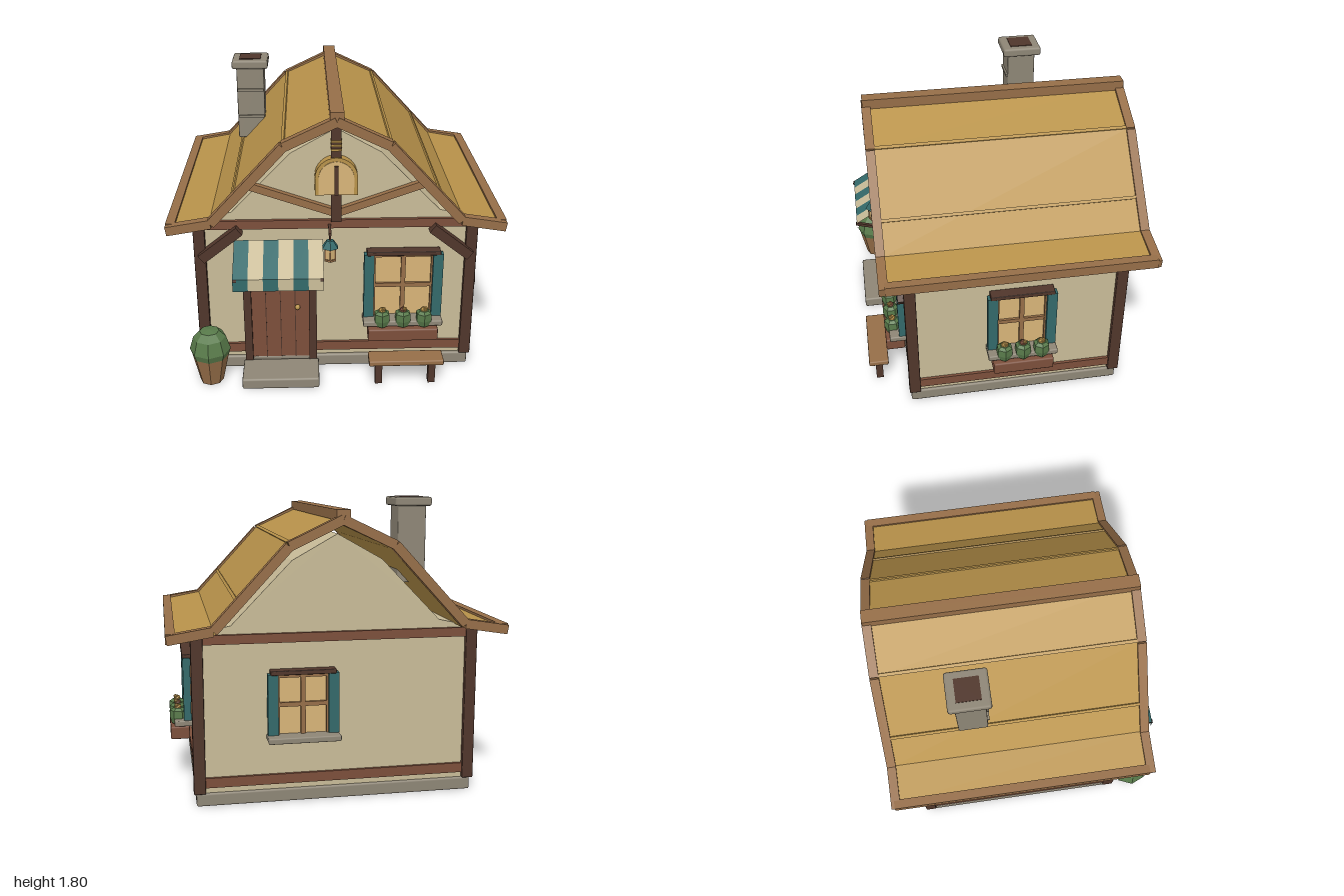
import * as THREE from 'three';
import { RoundedBoxGeometry } from 'three/addons/geometries/RoundedBoxGeometry.js';

const mat = (name, color) => Object.assign(new THREE.MeshStandardMaterial({ color }), { name });

export function createModel() {
  const plaster = mat('plaster', 0xc9bc98), stone = mat('stone', 0x8e8676), dark = mat('dark timber', 0x50362b);
  const red = mat('red timber', 0x7c4f3b), trim = mat('light timber', 0x966e48), thatch = mat('golden thatch', 0xb8924a);
  const teal = mat('teal paint', 0x33696a), glass = mat('lit glass', 0xd8b478), green = mat('foliage', 0x587a4a);
  teal.side = plaster.side = THREE.DoubleSide;

  const model = new THREE.Group();
  model.name = 'cottage';
  let parent = model;

  const add = (name, geo, m, x = 0, y = 0, z = 0) => {
    const mesh = new THREE.Mesh(geo, m);
    mesh.name = name;
    mesh.position.set(x, y, z);
    parent.add(mesh);
    return mesh;
  };
  // boxes given by their extents on each axis; bevel rounds the edges
  const box = (name, m, [x0, x1], [y0, y1], [z0, z1], bevel = 0) => {
    const s = [x1 - x0, y1 - y0, z1 - z0];
    const geo = bevel ? new RoundedBoxGeometry(...s, 1, bevel) : new THREE.BoxGeometry(...s);
    return add(name, geo, m, (x0 + x1) / 2, (y0 + y1) / 2, (z0 + z1) / 2);
  };
  // straight timber between two points in the xy plane
  const beam = (name, m, [ax, ay], [bx, by], thick, [z0, z1]) => {
    const len = Math.hypot(bx - ax, by - ay);
    const mesh = box(name, m, [-len / 2, len / 2], [-thick / 2, thick / 2], [z0, z1]);
    mesh.position.set((ax + bx) / 2, (ay + by) / 2, (z0 + z1) / 2);
    mesh.rotation.z = Math.atan2(by - ay, bx - ax);
    return mesh;
  };
  const flat = (geo) => {
    const g = geo.index ? geo.toNonIndexed() : geo;
    g.computeVertexNormals();
    return g;
  };
  const lathe = (pts, sides) => flat(new THREE.LatheGeometry(pts.map((p) => new THREE.Vector2(...p)), sides));
  const prism = (pts, depth) => new THREE.ExtrudeGeometry(
    new THREE.Shape(pts.map((p) => new THREE.Vector2(...p))), { depth, bevelEnabled: false });
  const flipX = (pts) => pts.map(([x, y]) => [-x, y]).reverse();

  // stone base and doorstep
  box('stoneBase', stone, [-0.845, 0.845], [0, 0.08], [-0.715, 0.62], 0.012);
  box('doorstep', stone, [-0.585, -0.11], [0, 0.07], [0.635, 0.867], 0.012);

  // walls and both gables as one solid
  const half = [[0.83, 0.07], [0.83, 1.035], [0.625, 1.08], [0.267, 1.45]];
  add('walls', prism([...half, [0, 1.6], ...flipX(half)], 1.3), plaster, 0, 0, -0.7);

  // timber frame
  for (const x of [-0.825, 0.825]) {
    for (const z of [0.595, -0.695]) {
      box('cornerPost', dark, [x - 0.035, x + 0.035], [0.08, 1.035], [z - 0.035, z + 0.035], 0.006);
    }
    for (const [y0, y1] of [[0.115, 0.175], [0.97, 1.03]]) {
      const o = Math.sign(x) * 0.83;
      box('sideRail', red, [o - 0.018, o + 0.018], [y0, y1], [-0.68, 0.58]);
    }
  }
  for (const z of [0.6, -0.7]) {
    box('lowerRail', red, [-0.8, 0.8], [0.115, 0.175], [z - 0.018, z + 0.018]);
    box('upperRail', red, [-0.8, 0.8], [0.975, 1.03], [z - 0.022, z + 0.022]);
  }
  for (const s of [-1, 1]) beam('cornerBrace', dark, [s * 0.815, 0.795], [s * 0.58, 0.98], 0.06, [0.605, 0.665]);

  // roof shell
  const outer = [[0.96, 1.053], [0.74, 1.093], [0.31, 1.56]];
  const inner = [[0.29, 1.52], [0.725, 1.05], [0.96, 1.012]];
  add('roofShell', prism([...outer, [0, 1.7], ...flipX(outer), ...flipX(inner), [0, 1.655], ...inner], 1.55), thatch, 0, 0, -0.825);
  box('ridgeBeam', trim, [-0.04, 0.04], [1.685, 1.745], [-0.865, 0.765]);

  // roof edging, seams and rafter tails on both slopes
  const line = [[0, 1.688], [0.305, 1.543], [0.735, 1.077], [0.995, 1.035]];
  for (const s of [-1, 1]) {
    for (const z of [[0.715, 0.77], [-0.87, -0.815]]) {
      for (let i = 0; i < 3; i++) {
        beam('bargeboard', trim, [s * line[i][0], line[i][1]], [s * line[i + 1][0], line[i + 1][1]], 0.055, z);
      }
    }
    box('eaveBoard', trim, s > 0 ? [0.945, 1] : [-1, -0.945], [1.012, 1.07], [-0.85, 0.735]);
    beam('roofSeam', thatch, [s * 0.295, 1.568], [s * 0.312, 1.557], 0.016, [-0.815, 0.715]);
    beam('roofSeam', thatch, [s * 0.595, 1.253], [s * 0.608, 1.239], 0.016, [-0.815, 0.715]);
    for (const z of [0.44, 0.115, -0.21, -0.535]) {
      beam('rafterTail', dark, [s * 0.8, 1.03], [s * 0.935, 1.008], 0.035, [z - 0.022, z + 0.022]);
    }
  }

  // chimney with raised courses on its front
  box('chimneyShaft', stone, [-0.625, -0.445], [1.27, 1.76], [-0.4, -0.22], 0.008);
  box('chimneyCap', stone, [-0.652, -0.418], [1.745, 1.8], [-0.437, -0.188], 0.014);
  box('chimneyFlue', dark, [-0.605, -0.465], [1.79, 1.804], [-0.385, -0.24]);
  for (const y of [1.42, 1.6]) box('chimneyCourse', stone, [-0.62, -0.45], [y - 0.008, y + 0.008], [-0.225, -0.208]);

  // front gable timbers
  box('kingPost', dark, [-0.03, 0.03], [1.03, 1.63], [0.6, 0.65]);
  for (const s of [-1, 1]) beam('gableBrace', trim, [s * 0.02, 1.085], [s * 0.525, 1.262], 0.045, [0.6, 0.64]);
  for (const y of [1.485, 1.51, 1.535]) box('gableBand', thatch, [-0.032, 0.032], [y - 0.006, y + 0.006], [0.61, 0.658]);

  // arched gable window
  const arch = (r, y0, depth) => {
    const sh = new THREE.Shape();
    sh.moveTo(-r, y0);
    sh.lineTo(r, y0);
    sh.absarc(0, 1.312, r, 0, Math.PI);
    return new THREE.ExtrudeGeometry(sh, { depth, bevelEnabled: false, curveSegments: 8 });
  };
  add('archFrame', arch(0.126, 1.207, 0.06), thatch, 0, 0, 0.6);
  add('archGlass', arch(0.104, 1.212, 0.006), glass, 0, 0, 0.659);
  box('archMullion', dark, [-0.012, 0.012], [1.21, 1.39], [0.66, 0.675]);

  // door
  box('doorLeaf', red, [-0.53, -0.16], [0.08, 0.74], [0.59, 0.625]);
  for (let i = 1; i < 4; i++) box('plankGroove', dark, [-0.532 + i * 0.0915, -0.527 + i * 0.0915], [0.08, 0.74], [0.62, 0.628]);
  for (const x of [-0.55, -0.145]) box('doorJamb', dark, [x - 0.024, x + 0.024], [0.07, 0.76], [0.59, 0.65]);
  box('doorLintel', dark, [-0.575, -0.12], [0.74, 0.79], [0.59, 0.65]);
  add('doorKnob', new THREE.SphereGeometry(0.017, 10, 8), thatch, -0.24, 0.445, 0.64);

  // striped awning: sloping cloth with a hanging valance
  const drop = [[0.91, 0.635], [0.767, 0.87], [0.69, 0.872]];
  for (let i = 0; i < 6; i++) {
    const x0 = -0.615 + i * 0.0892;
    for (let j = 0; j < 2; j++) {
      const [[ya, za], [yb, zb]] = [drop[j], drop[j + 1]];
      const cloth = new THREE.PlaneGeometry(0.0892, Math.hypot(yb - ya, zb - za));
      const mesh = add('awningStripe', cloth, i % 2 ? plaster : teal, x0 + 0.0446, (ya + yb) / 2, (za + zb) / 2);
      mesh.rotation.x = -Math.atan2(zb - za, ya - yb);
    }
  }
  box('awningRail', trim, [-0.6, -0.1], [0.82, 0.872], [0.61, 0.69]);
  for (const x of [-0.602, -0.09]) {
    const rod = box('awningRod', dark, [-0.011, 0.011], [-0.009, 0.009], [-0.125, 0.125]);
    rod.position.set(x, 0.725, 0.755);
    rod.rotation.x = -0.29;
  }

  // lantern on its bracket
  parent = new THREE.Group();
  parent.name = 'lantern';
  parent.position.set(-0.04, 0, 0.75);
  model.add(parent);
  box('lanternArm', dark, [-0.008, 0.008], [0.99, 1.005], [-0.14, 0.01]);
  box('lanternHook', dark, [-0.005, 0.005], [0.95, 0.995], [-0.005, 0.005]);
  add('lanternCap', flat(new THREE.CylinderGeometry(0.022, 0.053, 0.045, 6)), teal, 0, 0.935, 0);
  add('lanternGlass', flat(new THREE.CylinderGeometry(0.036, 0.03, 0.075, 6)), glass, 0, 0.878, 0);
  add('lanternFoot', flat(new THREE.CylinderGeometry(0.038, 0.038, 0.012, 6)), trim, 0, 0.834, 0);
  for (let i = 0; i < 6; i++) {
    const a = (i * Math.PI) / 3;
    add('lanternBar', new THREE.BoxGeometry(0.007, 0.075, 0.007), trim, Math.sin(a) * 0.034, 0.878, Math.cos(a) * 0.034);
  }

  // shuttered window facing +z, its wall at z = 0
  const makeWindow = (name, w, y0, y1, flowers, x, z, turn) => {
    parent = new THREE.Group();
    parent.name = name;
    parent.position.set(x, 0, z);
    parent.rotation.y = turn;
    model.add(parent);
    const h = w / 2, mid = (y0 + y1) / 2, out = h + 0.062;
    box('windowGlass', glass, [-h, h], [y0, y1], [-0.01, 0.025]);
    box('mullion', trim, [-0.014, 0.014], [y0, y1], [0.02, 0.042]);
    box('crossbar', trim, [-h, h], [mid - 0.013, mid + 0.013], [0.02, 0.04]);
    box('headTrim', trim, [-h, h], [y1 - 0.025, y1], [0.02, 0.042]);
    box('lintel', dark, [-h - 0.045, h + 0.045], [y1 - 0.005, y1 + 0.022], [0, 0.07], 0.005);
    for (const s of [-1, 1]) {
      box('sideTrim', trim, [s * h - 0.01, s * h + 0.01], [y0, y1], [0, 0.042]);
      box('shutter', teal, s > 0 ? [h, out] : [-out, -h], [y0 + 0.01, y1], [0.02, 0.065]);
    }
    box('windowSill', stone, [-out - 0.004, out + 0.004], [y0 - 0.028, y0 + 0.008], [0, 0.125], 0.008);
    if (!flowers) return;
    box('flowerBox', red, [-h - 0.037, h + 0.037], [y0 - 0.118, y0 - 0.036], [0.03, 0.15], 0.01);
    for (const i of [-1, 0, 1]) {
      const px = i * (w * 0.25 + 0.04);
      add('plant', lathe([[0, -0.05], [0.04, -0.05], [0.052, -0.01], [0.05, 0.035], [0.03, 0.05], [0, 0.05]], 6), green, px, y0 + 0.022, 0.1);
      add('blossom', flat(new THREE.IcosahedronGeometry(0.024, 0)), i ? thatch : red, px, y0 + 0.075, 0.1);
      add('blossomTop', flat(new THREE.IcosahedronGeometry(0.014, 0)), thatch, px + 0.01, y0 + 0.09, 0.11);
    }
  };
  makeWindow('frontWindow', 0.36, 0.372, 0.81, true, 0.412, 0.6, 0);
  makeWindow('sideWindow', 0.3, 0.4, 0.81, true, 0.83, -0.075, Math.PI / 2);
  makeWindow('backWindow', 0.3, 0.42, 0.795, false, 0.21, -0.7, Math.PI);
  parent = model;

  // bench
  box('benchSeat', trim, [0.195, 0.655], [0.15, 0.185], [0.745, 0.87], 0.008);
  for (const x of [0.258, 0.588]) box('benchLeg', dark, [x - 0.022, x + 0.022], [0, 0.155], [0.785, 0.83]);

  // potted shrub
  add('plantPot', lathe([[0, 0], [0.072, 0], [0.116, 0.2], [0, 0.2]], 8), trim, -0.782, 0.005, 0.75);
  add('shrub', lathe([[0, 0.175], [0.108, 0.175], [0.126, 0.23], [0.1, 0.315], [0.06, 0.355], [0, 0.365]], 8), green, -0.782, 0, 0.75);

  return model;
}
